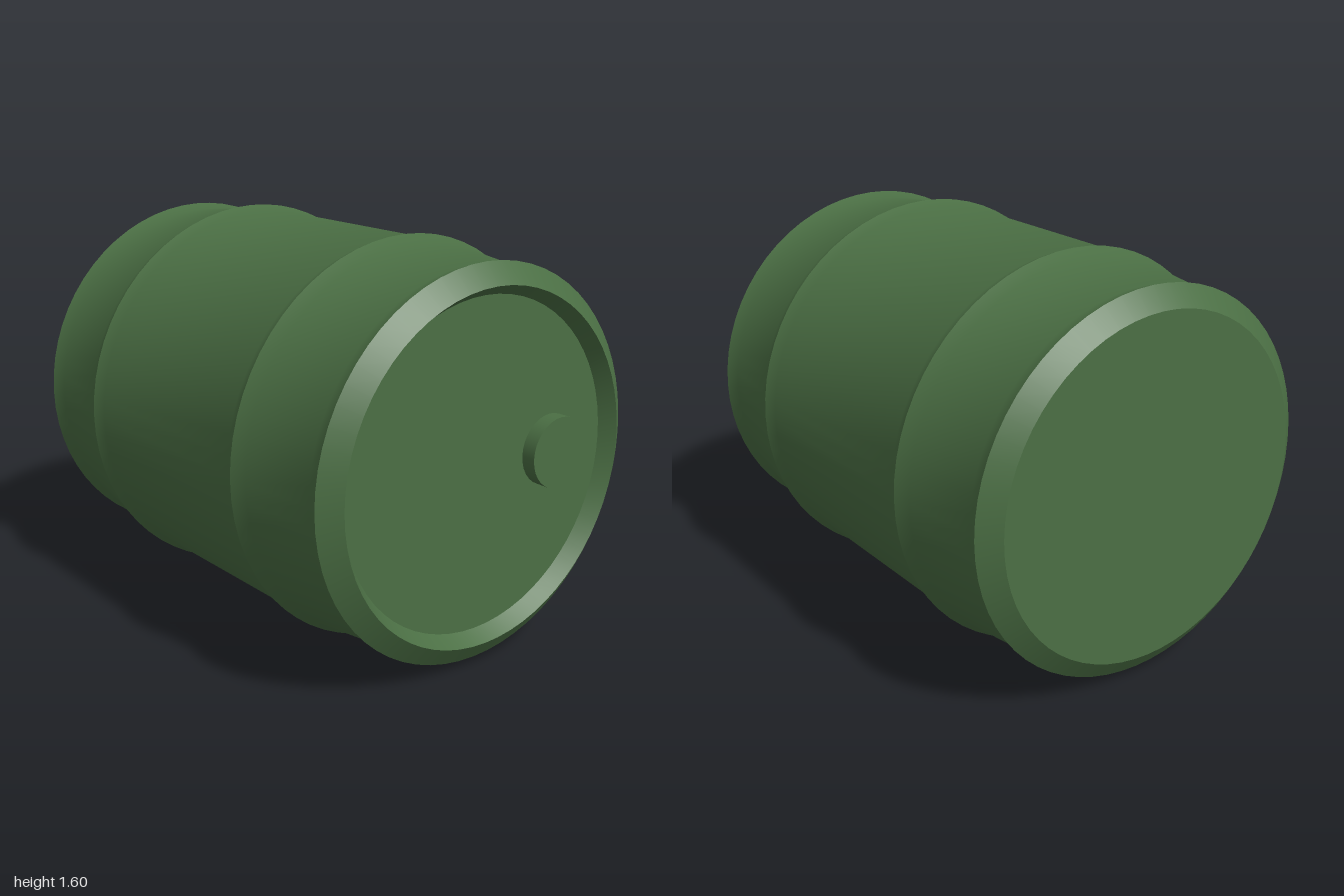
import * as THREE from 'three';
import { toCreasedNormals } from 'three/addons/utils/BufferGeometryUtils.js';

export function createModel() {
  const model = new THREE.Group();
  model.name = 'barrel';
  const green = new THREE.MeshStandardMaterial({ color: 0x4b6f44 });
  const centreY = 0.8;

  // Half of the side wall, [distance along the axis, radius], from the middle out to the rim
  const side = [[0.45, 0.78], [0.5, 0.8], [0.56, 0.775], [0.88, 0.74], [0.94, 0.76], [1, 0.68]];

  // Full profile: flat base, mirrored side wall, recessed lid
  const profile = [
    [-1, 0],
    ...side.map(([a, r]) => [-a, r]).reverse(),
    ...side,
    [0.94, 0.64],
    [0.94, 0],
  ].map(([a, r]) => new THREE.Vector2(r, a));

  // Drum body, lying along x with the lid at +x
  const bodyGeometry = new THREE.LatheGeometry(profile, 64);
  bodyGeometry.rotateZ(-Math.PI / 2);
  const body = new THREE.Mesh(toCreasedNormals(bodyGeometry, 0.5), green);
  body.name = 'drumBody';
  body.position.y = centreY;
  model.add(body);

  // Round plug on the lid, level with the rim
  const plugGeometry = new THREE.CylinderGeometry(0.14, 0.14, 0.06, 32);
  plugGeometry.rotateZ(-Math.PI / 2);
  const plug = new THREE.Mesh(plugGeometry, green);
  plug.name = 'lidPlug';
  plug.position.set(0.97, centreY, -0.36);
  model.add(plug);

  return model;
}
